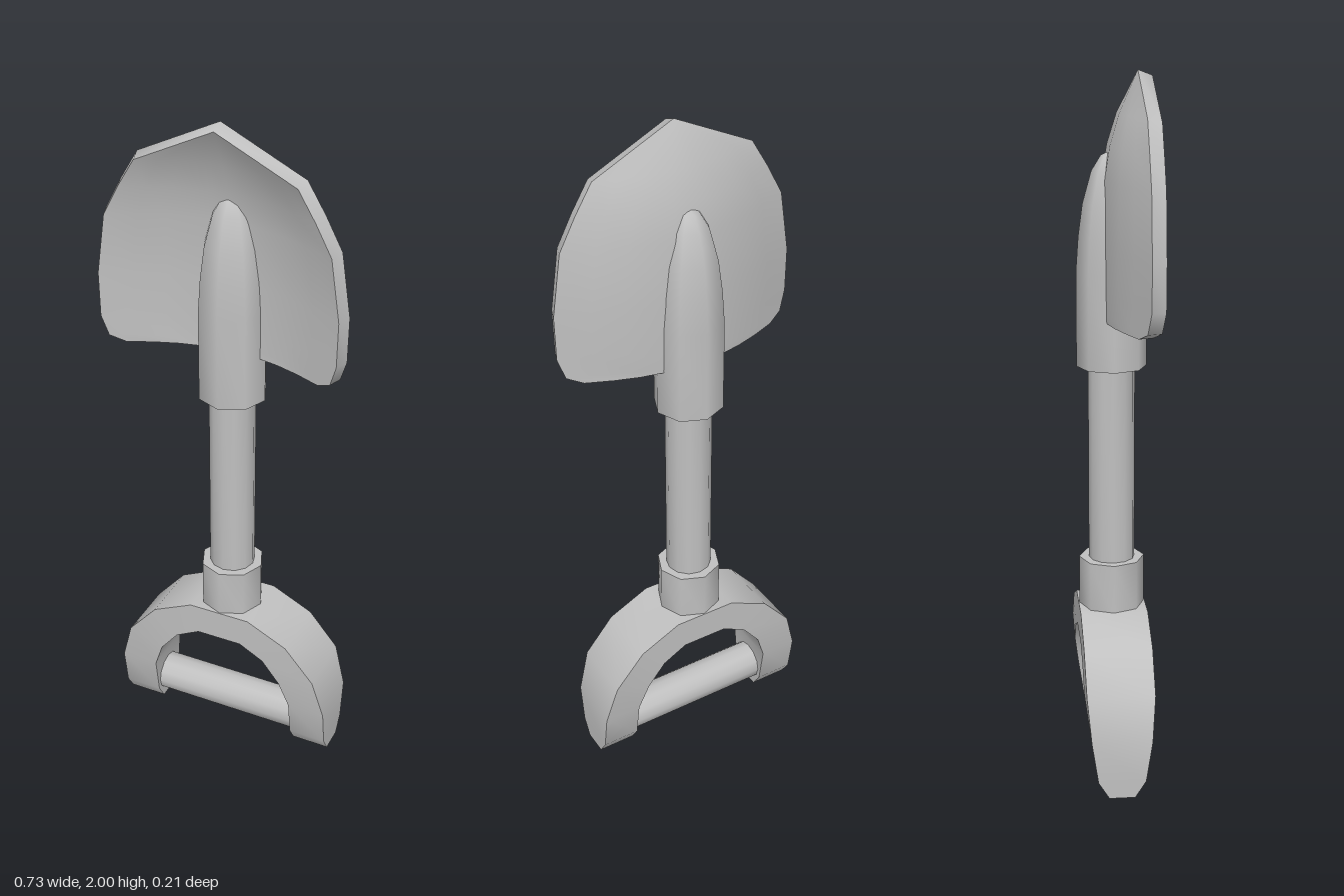
import * as THREE from 'three';
import { toCreasedNormals } from 'three/addons/utils/BufferGeometryUtils.js';

const steel = new THREE.MeshStandardMaterial({ color: 0xc0c0c0 });
steel.name = 'grey steel';
const AXIS_Z = -0.005;

function part(name, geometry) {
  const mesh = new THREE.Mesh(toCreasedNormals(geometry, 0.87), steel);
  mesh.name = name;
  return mesh;
}

// Round part about the y axis from [radius, y] points, bottom to top
function turned(name, profile, sides) {
  const points = profile.map(([r, y]) => new THREE.Vector2(r, y));
  const mesh = part(name, new THREE.LatheGeometry(points, sides));
  mesh.position.z = AXIS_Z;
  return mesh;
}

// Closed skin over equal loops of [x, y, z] points
function loft(sections) {
  const n = sections[0].length, last = sections.length - 1, index = [];
  const quad = (a, b, c, d) => index.push(a, b, c, a, c, d);
  for (let s = 0; s < last; s++) {
    for (let i = 0; i < n; i++) {
      const j = (i + 1) % n, a = s * n, b = a + n;
      quad(a + i, b + i, b + j, a + j);
    }
  }
  for (let i = 0; i < n / 2 - 1; i++) {
    const e = last * n;
    quad(i, i + 1, n - 2 - i, n - 1 - i);
    quad(e + n - 1 - i, e + n - 2 - i, e + i + 1, e + i);
  }
  const geometry = new THREE.BufferGeometry();
  geometry.setAttribute('position', new THREE.Float32BufferAttribute(sections.flat(2), 3));
  geometry.setIndex(index);
  return geometry;
}

// Dished blade: rows of [y, half width, centre depth], open at the shoulder
function bladeGeometry() {
  const rows = [
    [1.32, 0.30, -0.035], [1.34, 0.345, -0.035], [1.40, 0.365, -0.035], [1.53, 0.367, -0.035],
    [1.71, 0.34, -0.028], [1.80, 0.292, -0.014], [1.885, 0.24, 0.012], [2.0, 0, 0.067],
  ];
  const columns = [-1, -0.75, -0.52, -0.16, 0, 0.16, 0.52, 0.75, 1];
  const rim = 0.067;
  const bend = (t) => (t < 0.16 ? 0 : t < 0.52 ? (t - 0.16) * 0.83 : 0.3 + (t - 0.52) * 1.46);
  return loft(rows.map(([y, w, c]) => {
    const full = y < 1.4 ? 0.365 : w;
    const depth = (t) => c + (rim - c) * bend(full ? Math.abs(t * w) / full : 0);
    const inset = y > 1.6 ? 0.015 * (y - 1.6) / 0.4 : 0;
    const back = columns.map((t) => [t * w, y, depth(t)]);
    const front = columns.map((t) => [t * w * 0.96, y - inset, depth(t) + 0.04]).reverse();
    return [...back, ...front];
  }));
}

// D-shaped grip: stations of [outer x, outer y, inner x, inner y, half depth]
function gripGeometry() {
  const half = [
    [0.345, 0, 0.23, 0, 0.037], [0.345, 0.05, 0.23, 0.05, 0.068], [0.345, 0.17, 0.23, 0.17, 0.086],
    [0.31, 0.295, 0.20, 0.255, 0.097], [0.22, 0.40, 0.145, 0.325, 0.098], [0.095, 0.46, 0.07, 0.365, 0.098],
  ];
  const mirrored = half.map(([ox, oy, ix, iy, d]) => [-ox, oy, -ix, iy, d]).reverse();
  return loft([...half, ...mirrored].map(([ox, oy, ix, iy, d]) => [
    [ix, iy, AXIS_Z - d], [ox, oy, AXIS_Z - d], [ox, oy, AXIS_Z + d], [ix, iy, AXIS_Z + d],
  ]));
}

export function createModel() {
  const model = new THREE.Group();
  model.name = 'shovel';

  model.add(part('blade', bladeGeometry()));

  // Socket with a bullet-shaped end running up the blade
  model.add(turned('socket', [
    [0, 1.18], [0.1, 1.18], [0.1, 1.45], [0.093, 1.55], [0.081, 1.64],
    [0.056, 1.73], [0.03, 1.772], [0, 1.787],
  ], 8));
  model.add(turned('shaft', [[0, 0.55], [0.067, 0.55], [0.067, 1.25], [0, 1.25]], 12));
  model.add(turned('collar', [[0, 0.44], [0.095, 0.44], [0.095, 0.605], [0, 0.605]], 8));

  model.add(part('gripFrame', gripGeometry()));

  // Crossbar between the legs of the grip
  const bar = turned('crossbar', [[0, -0.24], [0.06, -0.24], [0.06, 0.24], [0, 0.24]], 12);
  bar.rotation.z = Math.PI / 2;
  bar.position.y = 0.08;
  model.add(bar);

  return model;
}
